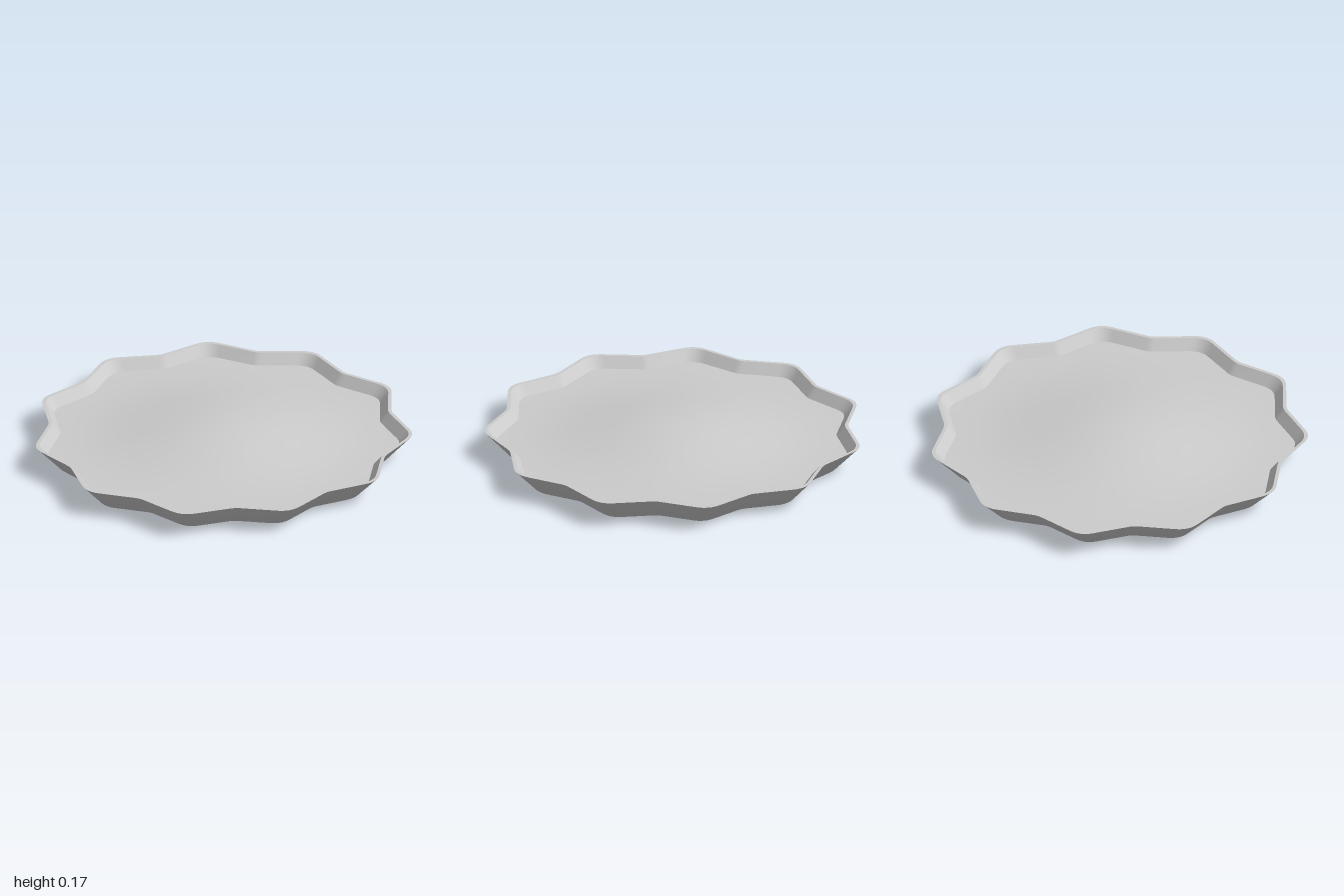
import * as THREE from 'three';
import { toCreasedNormals } from 'three/addons/utils/BufferGeometryUtils.js';

const POINTS = 11, TIP = 1.022, VALLEY = 0.915, Z_SHIFT = 0.013;

// Star outline with softly rounded tips and slightly eased valleys, one tip at the back.
function starOutline() {
  const corner = (k) => {
    const a = (k * Math.PI) / POINTS;
    const r = k % 2 ? VALLEY : TIP;
    return new THREE.Vector2(Math.sin(a) * r, -Math.cos(a) * r);
  };
  const outline = [];
  for (let k = 0; k < POINTS * 2; k++) {
    const c = corner(k), ease = k % 2 ? 0.07 : 0.24, steps = k % 2 ? 2 : 6;
    const curve = new THREE.QuadraticBezierCurve(
      c.clone().lerp(corner(k - 1), ease), c, c.clone().lerp(corner(k + 1), ease));
    outline.push(...curve.getPoints(steps));
  }
  return outline;
}

// Skins a list of [scale, height] rows; height may be a function of radius.
function loft(outline, rows) {
  const pos = [], index = [], n = outline.length;
  for (const [s, y] of rows) {
    for (const p of outline) {
      pos.push(p.x * s, typeof y === 'function' ? y(p.length() * s) : y, p.y * s + Z_SHIFT);
    }
  }
  for (let r = 0; r < rows.length - 1; r++) {
    for (let i = 0; i < n; i++) {
      const j = (i + 1) % n;
      const a = r * n + i, b = r * n + j, c = a + n, d = b + n;
      // skip collapsed triangles at the centre
      if (rows[r][0] > 0) index.push(a, c, b);
      if (rows[r + 1][0] > 0) index.push(b, c, d);
    }
  }
  const g = new THREE.BufferGeometry();
  g.setAttribute('position', new THREE.Float32BufferAttribute(pos, 3));
  g.setIndex(index);
  return toCreasedNormals(g, 0.6);
}

export function createModel() {
  const group = new THREE.Group();
  group.name = 'starTray';
  const material = new THREE.MeshStandardMaterial({ color: 0xcccccc });
  const outline = starOutline();
  const add = (name, rows) => {
    const mesh = new THREE.Mesh(loft(outline, rows), material);
    mesh.name = name;
    group.add(mesh);
  };

  // Flat underside, eased lower edge, flared wall, narrow rim and inner slope
  add('trayShell', [
    [0, 0], [0.85, 0], [0.865, 0.003], [0.875, 0.01],
    [1, 0.142], [0.98, 0.142], [0.932, 0.087],
  ]);

  // Floor swelling into a low smooth mound at the middle
  const mound = (r) => 0.087 + 0.083 * Math.pow(Math.max(0, 1 - (r / 0.945) ** 2), 3.2);
  const floorRows = [];
  for (let i = 0; i <= 16; i++) floorRows.push([0.932 * (1 - i / 16), mound]);
  add('trayFloor', floorRows);

  return group;
}
